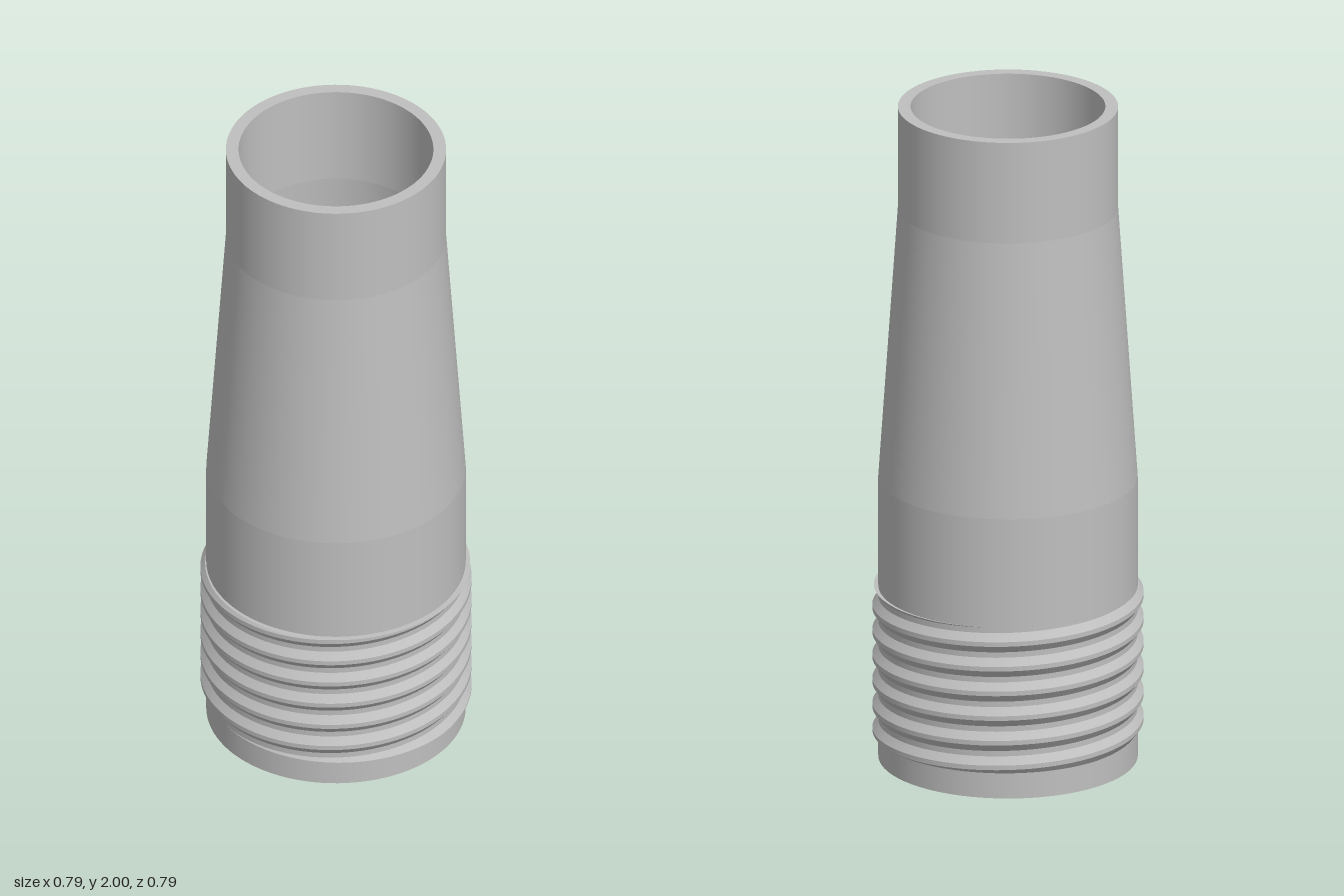
import * as THREE from 'three';
import { mergeGeometries } from 'three/addons/utils/BufferGeometryUtils.js';

const BODY_R = 0.377, CREST_R = 0.394, PITCH = 0.076;
const THREAD_LOW = 0.08, THREAD_HIGH = 0.525;
const FOOT = 0.031, CREST = 0.007; // half widths of the ridge

// Hollow tapered pipe: one lathe per profile segment keeps the edges sharp
function pipeGeometry() {
  const profile = [
    [0.34, 0], [BODY_R, 0], [BODY_R, 0.86], [0.32, 1.69], [0.32, 2],
    [0.283, 2], [0.283, 1.69], [0.34, 0.86], [0.34, 0],
  ].map(([r, y]) => new THREE.Vector2(r, y));
  const bands = [];
  for (let i = 0; i < profile.length - 1; i++) {
    bands.push(new THREE.LatheGeometry([profile[i], profile[i + 1]], 96));
  }
  return mergeGeometries(bands);
}

// Right-handed helical ridge, cut level at its lower and upper limits
function threadGeometry() {
  const perTurn = 96, firstTurn = -6, turns = 7, rootR = BODY_R - 0.001;
  const ridgeRadius = (d) => THREE.MathUtils.lerp(
    CREST_R, rootR, THREE.MathUtils.clamp((Math.abs(d) - CREST) / (FOOT - CREST), 0, 1));

  // Offset from the crest line; the outer two entries close the cut ends
  const offsets = [-FOOT, -FOOT, -CREST, CREST, FOOT, FOOT];
  const point = (k, j) => {
    const turn = firstTurn + k / perTurn;
    const crestY = 0.49 + PITCH * turn;
    const y = THREE.MathUtils.clamp(crestY + offsets[j], THREAD_LOW, THREAD_HIGH);
    const isCap = j === 0 || j === offsets.length - 1;
    const r = isCap ? rootR : ridgeRadius(y - crestY);
    const a = turn * Math.PI * 2;
    return [-r * Math.cos(a), y, r * Math.sin(a)];
  };

  const strips = [];
  for (let j = 0; j < offsets.length - 1; j++) {
    const positions = [], indices = [];
    for (let k = 0; k <= perTurn * turns; k++) {
      positions.push(...point(k, j), ...point(k, j + 1));
      if (k > 0) {
        const a = 2 * k - 2;
        indices.push(a, a + 2, a + 3, a, a + 3, a + 1);
      }
    }
    const strip = new THREE.BufferGeometry();
    strip.setAttribute('position', new THREE.Float32BufferAttribute(positions, 3));
    strip.setIndex(indices);
    strip.computeVertexNormals();
    strips.push(strip);
  }
  return mergeGeometries(strips);
}

export function createModel() {
  const group = new THREE.Group();
  group.name = 'threadedTaperedPipe';
  const grey = new THREE.MeshStandardMaterial({ color: 0xbfbfbf });
  grey.name = 'plain grey';

  const pipe = new THREE.Mesh(pipeGeometry(), grey);
  pipe.name = 'pipeBody';
  const thread = new THREE.Mesh(threadGeometry(), grey);
  thread.name = 'screwThread';
  group.add(pipe, thread);
  return group;
}
